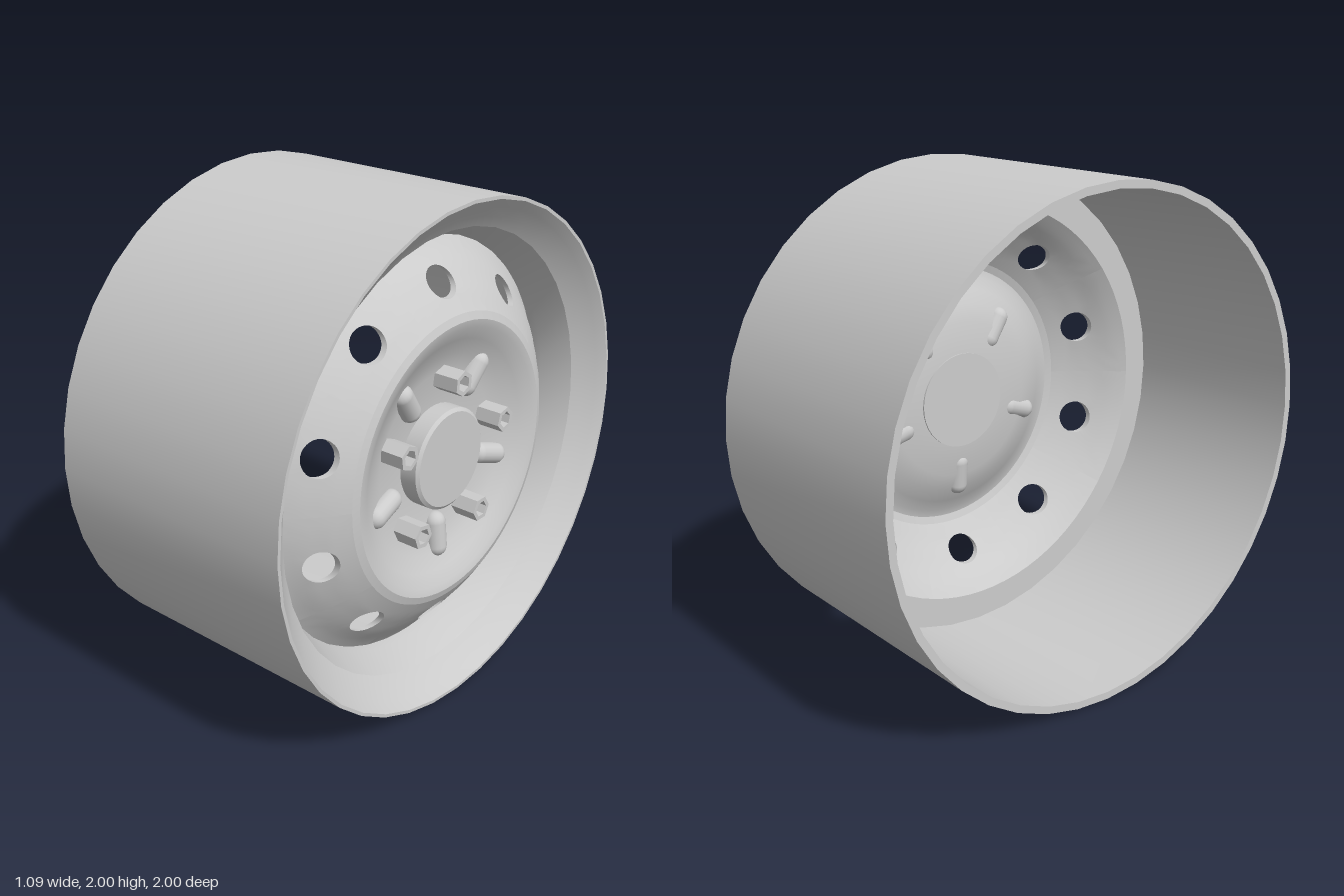
import * as THREE from 'three';
import { toCreasedNormals } from 'three/addons/utils/BufferGeometryUtils.js';

const V2 = (x, y) => new THREE.Vector2(x, y);

// Disc section as (radius, height along the axle)
const SECTION = [[0.18, 0.39], [0.33, 0.40], [0.40, 0.425], [0.46, 0.455], [0.51, 0.485], [0.54, 0.492],
  [0.57, 0.482], [0.64, 0.435], [0.72, 0.37], [0.78, 0.31], [0.83, 0.27]];
const THICK = 0.025;
const RING_IN = 0.57, RING_OUT = 0.83;

function discHeight(r) {
  for (let i = 1; i < SECTION.length; i++) {
    const [r0, h0] = SECTION[i - 1], [r1, h1] = SECTION[i];
    if (r <= r1) return h0 + (h1 - h0) * (r - r0) / (r1 - r0);
  }
  return SECTION[SECTION.length - 1][1];
}

// One pierced 36 degree sector of the outer disc: rings of points run from the
// back border to the hole, through the metal, and out to the front border
function piercedSector() {
  const N = 32, K = 5, pos = [], idx = [];
  const rings = [];
  for (let j = K; j >= 0; j--) rings.push([j / K, -THICK]);
  for (let j = 0; j <= K; j++) rings.push([j / K, 0]);
  const square = (c) => THREE.MathUtils.clamp(Math.asin(c) * 4 / Math.PI, -1, 1);
  for (const [t, drop] of rings) {
    for (let i = 0; i < N; i++) {
      const u = i / N * Math.PI * 2, c = Math.cos(u), s = Math.sin(u);
      const angle = THREE.MathUtils.lerp(c * 0.07 / 0.68, square(c) * Math.PI / 10, t);
      const border = (RING_IN + RING_OUT) / 2 + square(s) * (RING_OUT - RING_IN) / 2;
      const r = THREE.MathUtils.lerp(0.677 + s * 0.053, border, t);
      pos.push(-Math.cos(angle) * r, discHeight(r) + drop, -Math.sin(angle) * r);
    }
  }
  for (let j = 0; j < rings.length - 1; j++) {
    for (let i = 0; i < N; i++) {
      const k = (i + 1) % N, a = j * N, b = a + N;
      idx.push(a + i, b + i, b + k, a + i, b + k, a + k);
    }
  }
  const geo = new THREE.BufferGeometry();
  geo.setAttribute('position', new THREE.Float32BufferAttribute(pos, 3));
  geo.setIndex(idx);
  return toCreasedNormals(geo, 0.6);
}

function hexagon(radius, Kind) {
  return new Kind(Array.from({ length: 6 }, (_, i) =>
    V2(Math.cos(i * Math.PI / 3) * radius, Math.sin(i * Math.PI / 3) * radius)));
}

export function createModel() {
  const mat = new THREE.MeshStandardMaterial({ color: 0xcccccc });
  const model = new THREE.Group();
  model.name = 'steelWheel';

  // Built with the axle along y, then tipped so the outer face looks along +x
  const wheel = new THREE.Group();
  wheel.name = 'wheel';
  wheel.rotation.z = -Math.PI / 2;
  wheel.position.y = 1;
  model.add(wheel);

  const add = (name, geo, parent = wheel) => {
    const mesh = new THREE.Mesh(geo, mat);
    mesh.name = name;
    parent.add(mesh);
    return mesh;
  };
  const lathe = (name, pts, segments) =>
    add(name, toCreasedNormals(new THREE.LatheGeometry(pts.map(p => V2(...p)), segments), 0.5));
  // Group turned about the axle; its -x axis points outward along the angle
  const spoke = (name, degrees) => {
    const g = new THREE.Group();
    g.name = name;
    g.rotation.y = -THREE.MathUtils.degToRad(degrees);
    wheel.add(g);
    return g;
  };

  // Barrel with the sloped outer lip and the seat for the disc
  lathe('barrel', [[0.97, -0.545], [1, -0.545], [0.995, 0.54], [0.982, 0.54], [0.95, 0.51], [0.91, 0.47],
    [0.87, 0.44], [0.82, 0.32], [0.815, 0.27], [0.965, 0.27], [0.97, -0.545]], 40);

  // Dished centre of the disc, up to the raised ridge
  const dish = SECTION.filter(([r]) => r <= RING_IN);
  lathe('dish', [...dish].reverse().concat(dish.map(([r, h]) => [r, h - THICK])), 80);

  // Outer disc with ten ventilation holes
  const sector = piercedSector();
  for (let i = 0; i < 10; i++) add('ventSector', sector, spoke('vent', i * 36));

  // Closed hub with a bevelled edge
  lathe('hub', [[0, 0.36], [0.2, 0.36], [0.2, 0.462], [0.187, 0.472], [0, 0.472]], 40);

  // Wheel nuts with hexagonal sockets
  const nutShape = hexagon(0.05, THREE.Shape);
  nutShape.holes.push(hexagon(0.032, THREE.Path));
  const nutGeo = new THREE.ExtrudeGeometry(nutShape, { depth: 0.12, bevelEnabled: false });
  nutGeo.rotateX(-Math.PI / 2);
  const floorGeo = new THREE.ShapeGeometry(hexagon(0.034, THREE.Shape));
  floorGeo.rotateX(-Math.PI / 2);

  // Pressed ribs between the nuts, sinking into the dish at their outer ends
  const ribGeo = new THREE.CapsuleGeometry(0.043, 0.1, 8, 16);
  ribGeo.rotateZ(Math.PI / 2);

  for (let i = 0; i < 5; i++) {
    const nut = spoke('wheelNut', 4 + i * 72);
    add('nutBody', nutGeo, nut).position.set(-0.307, 0.385, 0);
    add('nutSocketFloor', floorGeo, nut).position.set(-0.307, 0.44, 0);
    const rib = add('rib', ribGeo, spoke('pressedRib', 36 + i * 72));
    rib.position.set(-0.335, 0.408, 0);
    rib.rotation.z = -0.1;
  }
  return model;
}
